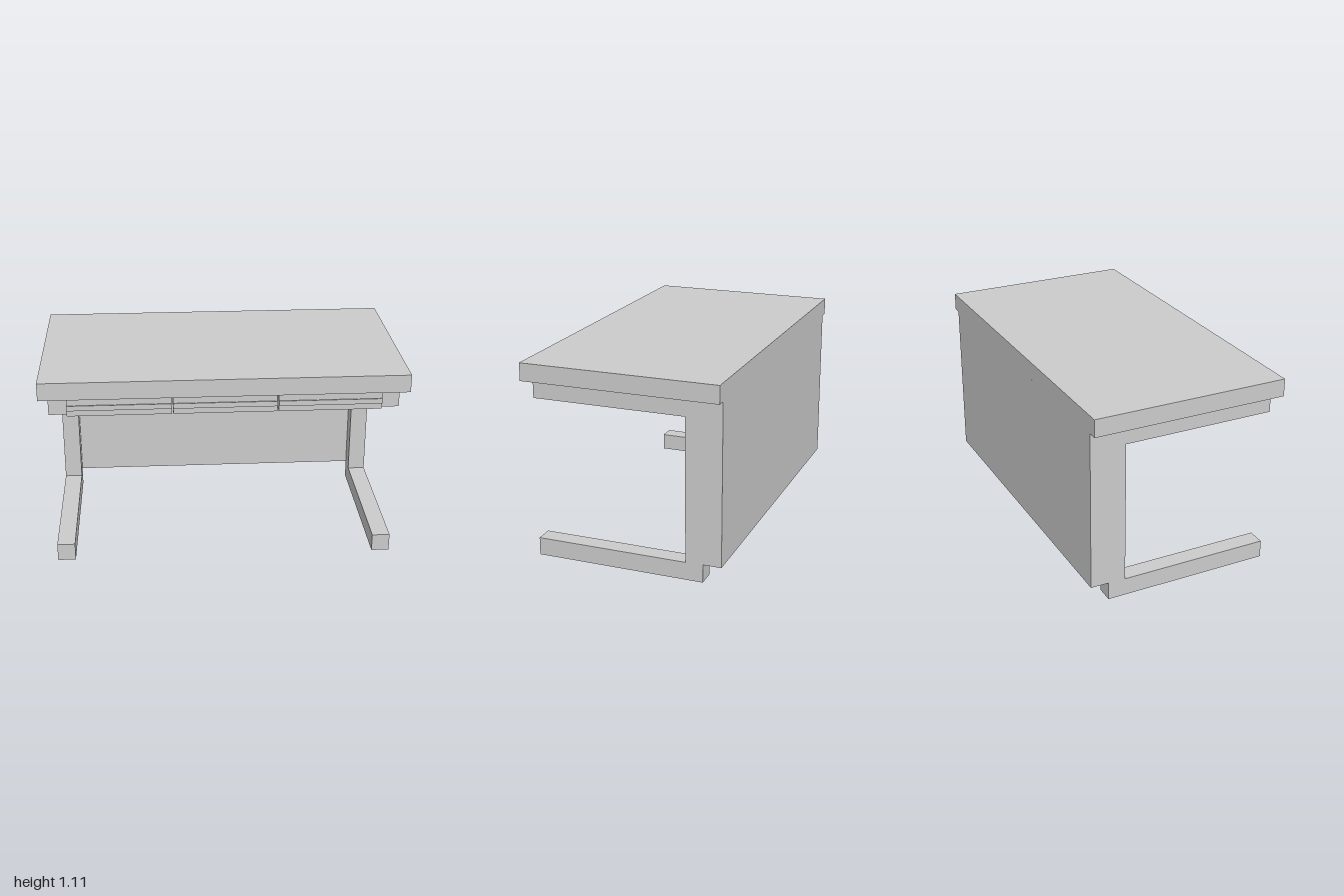
import * as THREE from 'three';

const material = new THREE.MeshStandardMaterial({ color: 0xcccccc, flatShading: true });

// Box given by its lower and upper limits on each axis
function box(name, [x0, x1], [y0, y1], [z0, z1]) {
  const mesh = new THREE.Mesh(new THREE.BoxGeometry(x1 - x0, y1 - y0, z1 - z0), material);
  mesh.name = name;
  mesh.position.set((x0 + x1) / 2, (y0 + y1) / 2, (z0 + z1) / 2);
  return mesh;
}

// C-shaped side frame: foot, rear post and top rail in one profile, drawn as (z, y)
function sideFrame(name, x) {
  const profile = [
    [0.505, 0], [0.505, 0.1], [-0.352, 0.1], [-0.352, 0.905],
    [0.505, 0.905], [0.505, 1.007], [-0.45, 1.007], [-0.45, 0],
  ];
  const shape = new THREE.Shape(profile.map(([z, y]) => new THREE.Vector2(-z, y)));
  const geometry = new THREE.ExtrudeGeometry(shape, { depth: 0.1, bevelEnabled: false });
  geometry.rotateY(Math.PI / 2); // shape x becomes -z, depth becomes +x
  const mesh = new THREE.Mesh(geometry, material);
  mesh.name = name;
  mesh.position.x = x - 0.05;
  return mesh;
}

// Drawer with a body, a front and a full-width T-section pull
function drawer(name, x, width) {
  const group = new THREE.Group();
  group.name = name;
  const span = [-width / 2, width / 2];
  group.add(
    box('drawerBody', span, [0.908, 1.007], [-0.165, 0.505]),
    box('drawerFront', span, [0.908, 1.007], [0.505, 0.538]),
    box('pullStem', span, [0.953, 0.964], [0.538, 0.547]),
    box('pullBar', span, [0.944, 0.973], [0.547, 0.553]),
  );
  group.position.x = x;
  return group;
}

export function createModel() {
  const desk = new THREE.Group();
  desk.name = 'desk';

  desk.add(box('tabletop', [-1, 1], [1.007, 1.106], [-0.553, 0.553]));
  desk.add(box('backPanel', [-0.95, 0.95], [0.102, 1.007], [-0.553, -0.45]));
  desk.add(sideFrame('leftFrame', 0.9), sideFrame('rightFrame', -0.9));

  // Three drawers between the frames, with narrow gaps
  const gap = 0.008;
  const width = (1.7 - 2 * gap) / 3;
  ['rightDrawer', 'middleDrawer', 'leftDrawer'].forEach((name, i) => {
    desk.add(drawer(name, (i - 1) * (width + gap), width));
  });

  return desk;
}
